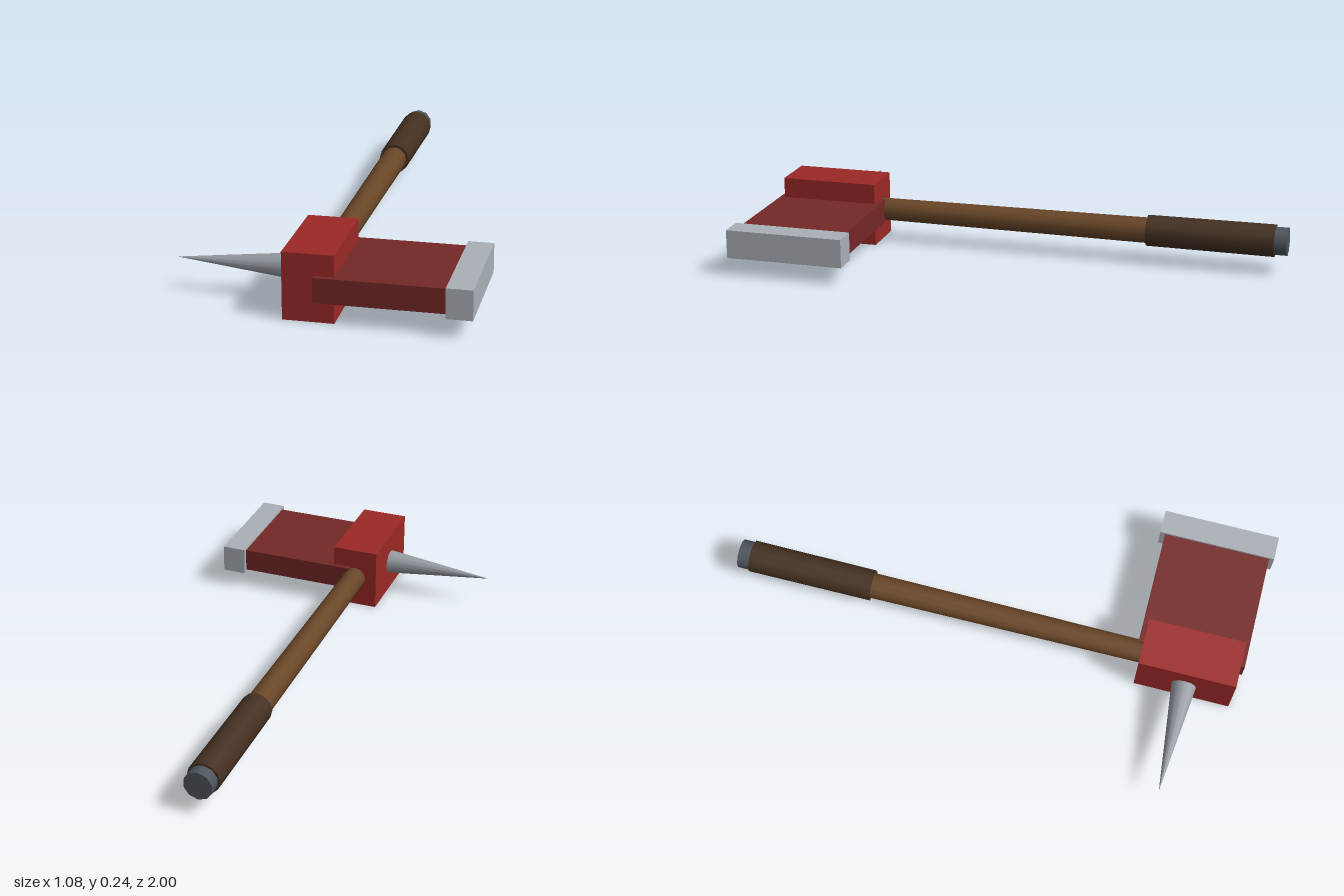
import * as THREE from 'three';

const AXIS_X = -0.025; // handle centre line
const MID_Y = 0.122;   // height of the centre line

export function createModel() {
  const model = new THREE.Group();
  model.name = 'warAxe';

  const mat = (color) => new THREE.MeshStandardMaterial({ color });
  const red = mat(0x9b2926);
  const darkRed = mat(0x742826);
  const steel = mat(0xabb0b8);
  const spikeSteel = mat(0x969ba2);
  const wood = mat(0x694627);
  const leather = mat(0x443021);
  const iron = mat(0x4f555d);

  const add = (name, geometry, material, x, y, z) => {
    const mesh = new THREE.Mesh(geometry, material);
    mesh.name = name;
    mesh.position.set(x, y, z);
    model.add(mesh);
    return mesh;
  };

  // Box given by its limits in x and z, centred on the middle height
  const block = (name, material, x0, x1, height, z0, z1) =>
    add(name, new THREE.BoxGeometry(x1 - x0, height, z1 - z0), material,
      (x0 + x1) / 2, MID_Y, (z0 + z1) / 2);

  // Round section running along z, with a radius at each end
  const rod = (name, material, rBack, rFront, zBack, zFront, sides) =>
    add(name, new THREE.CylinderGeometry(rFront, rBack, zFront - zBack, sides).rotateX(Math.PI / 2),
      material, AXIS_X, MID_Y, (zBack + zFront) / 2);

  // Head: socket, blade and cutting edge
  block('socket', red, -0.115, 0.066, 0.244, 0.59, 0.962);
  block('blade', darkRed, -0.005, 0.45, 0.09, 0.571, 0.981);
  block('cuttingEdge', steel, 0.449, 0.541, 0.108, 0.552, 1.0);

  // Spike pointing to the right, its base sunk in the socket
  add('spike', new THREE.ConeGeometry(0.051, 0.46, 12).rotateZ(Math.PI / 2),
    spikeSteel, -0.31, MID_Y, 0.775);

  // Handle: tapered shaft, grip and end cap
  rod('shaft', wood, 0.052, 0.043, -0.96, 0.75, 12);
  rod('grip', leather, 0.062, 0.06, -0.953, -0.47, 12);
  rod('pommel', iron, 0.055, 0.055, -1.0, -0.94, 10);

  return model;
}
